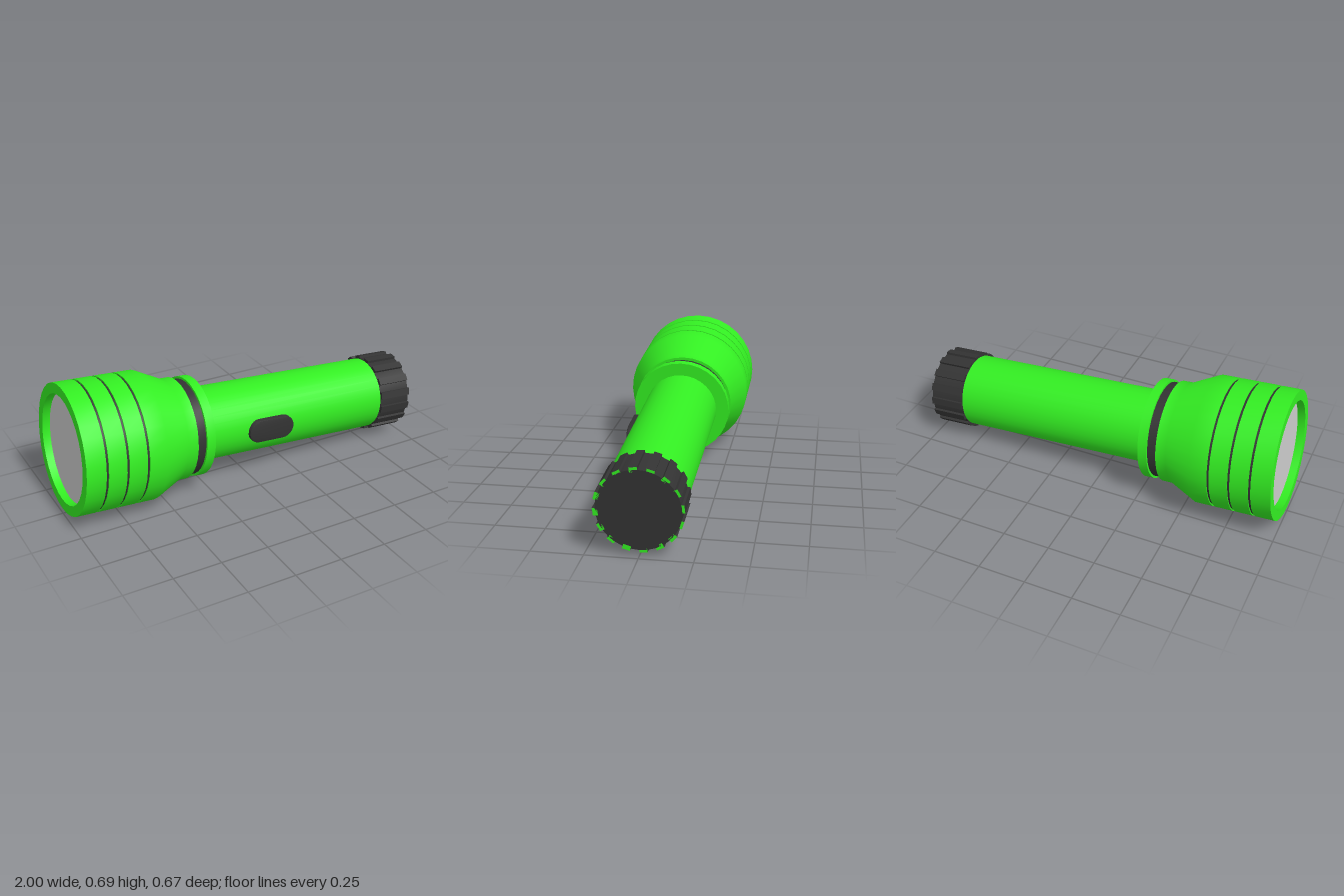
import * as THREE from 'three';
import { toCreasedNormals } from 'three/addons/utils/BufferGeometryUtils.js';

const SIDES = 32;
const green = new THREE.MeshStandardMaterial({ color: 0x33ee22 });
const dark = new THREE.MeshStandardMaterial({ color: 0x333333 });
const grey = new THREE.MeshStandardMaterial({ color: 0xcccccc });

export function createModel() {
  const torch = new THREE.Group();
  torch.name = 'flashlight';

  const add = (name, geometry, material) => {
    const mesh = new THREE.Mesh(geometry, material);
    mesh.name = name;
    torch.add(mesh);
    return mesh;
  };

  // Turned part: profile of [radius, distance from the lens end], axis along +x
  const turn = (name, profile, material) => {
    const points = profile.map(([r, s]) => new THREE.Vector2(r, s));
    const geometry = new THREE.LatheGeometry(points, SIDES).rotateZ(-Math.PI / 2);
    return add(name, toCreasedNormals(geometry, 0.5), material);
  };

  // Head with a recessed front, three narrow grooves and a tapered neck
  const R = 0.333, grooveDepth = 0.009, half = 0.006;
  const grooves = [0.105, 0.21, 0.315];
  const head = [[0.28, 0.045], [0.28, 0], [R, 0]];
  for (const s of grooves) {
    head.push([R, s - half], [R - grooveDepth, s - half], [R - grooveDepth, s + half], [R, s + half]);
  }
  head.push([R, 0.415], [0.265, 0.56], [0.265, 0.614], [0.19, 0.614]);
  turn('head', head, green);
  grooves.forEach((s, i) =>
    turn(`headGroove${i + 1}`, [[R - 0.006, s - half], [R - 0.006, s + half]], dark));

  // Lens set back inside the head
  const lens = add('lens', new THREE.CircleGeometry(0.28, SIDES).rotateY(-Math.PI / 2), grey);
  lens.position.x = 0.04;

  // Collar behind the head
  turn('neckBand', [[0.25, 0.612], [0.25, 0.666]], dark);
  turn('collar', [[0.19, 0.664], [0.262, 0.664], [0.262, 0.712], [0.19, 0.712]], green);

  // Handle tube
  turn('handle', [[0.194, 0.6], [0.194, 1.79]], green);

  // Tail cap with grip ribs; each rib has a green end
  const tailStart = 1.78, tailEnd = 1.967, ribCount = 16;
  turn('tailCap', [[0.19, tailStart], [0.197, tailStart], [0.197, tailEnd], [0, tailEnd]], dark);
  const ribLength = tailEnd - tailStart;
  const ribGeometry = new THREE.BoxGeometry(ribLength, 0.024, 0.038)
    .translate(tailStart + ribLength / 2, 0.197, 0);
  const ribMaterials = [green, dark, dark, dark, dark, dark];
  for (let i = 0; i < ribCount; i++) {
    const rib = add('tailRib', ribGeometry, ribMaterials);
    rib.rotation.x = THREE.MathUtils.degToRad(5.5) + (i / ribCount) * Math.PI * 2;
  }

  // Pill-shaped switch on the front side
  const pill = new THREE.Shape();
  const r = 0.055, reach = 0.07;
  pill.absarc(reach, 0, r, -Math.PI / 2, Math.PI / 2, false);
  pill.absarc(-reach, 0, r, Math.PI / 2, Math.PI * 1.5, false);
  const switchGeometry = new THREE.ExtrudeGeometry(pill, {
    depth: 0.05, bevelSize: 0.007, bevelThickness: 0.006, bevelSegments: 2, curveSegments: 12,
  });
  const button = add('switch', toCreasedNormals(switchGeometry, 0.5), dark);
  button.position.set(1.072, 0, 0.156);

  // Lies on its side, resting on the head and the tail cap
  torch.rotation.z = -0.068;
  torch.position.set(-0.977, 0.363, 0);
  const model = new THREE.Group();
  model.add(torch);
  return model;
}
